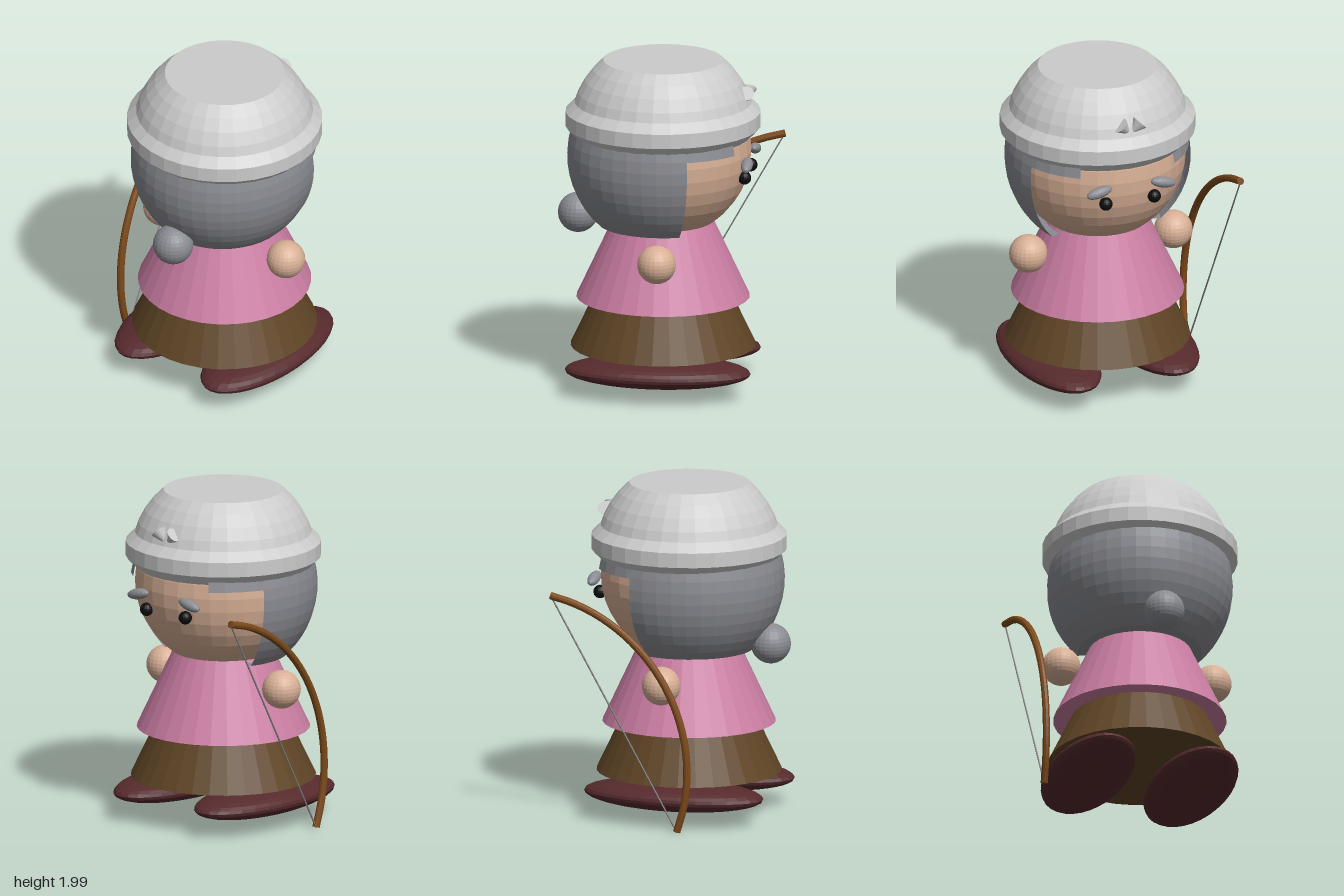
import * as THREE from 'three';

const CX = -0.02, CZ = 0.045; // vertical axis of the figure, which looks toward +x
const rad = THREE.MathUtils.degToRad;

export function createModel() {
  const model = new THREE.Group();
  model.name = 'figureWithBow';

  const mat = (color, side = THREE.FrontSide) =>
    new THREE.MeshStandardMaterial({ color, flatShading: true, side });
  const skin = mat(0xd8b096), pink = mat(0xcb7ea3), brown = mat(0x604526), shoe = mat(0x562a2d);
  const black = mat(0x0c0c0c), wood = mat(0x7d4a1a), stringGrey = mat(0x808080);
  const hatGrey = mat(0xcccccc), hair = mat(0x8b8c92), hairShell = mat(0x8b8c92, THREE.DoubleSide);

  const add = (name, geometry, material, x = CX, y = 0, z = CZ) => {
    const mesh = new THREE.Mesh(geometry, material);
    mesh.name = name;
    mesh.position.set(x, y, z);
    model.add(mesh);
    return mesh;
  };
  const ball = (name, material, r, x, y, z, sx = 1, sy = 1, sz = 1, w = 24, h = 16) => {
    const mesh = add(name, new THREE.SphereGeometry(r, w, h), material, x, y, z);
    mesh.scale.set(sx, sy, sz);
    return mesh;
  };
  // Points on a circle of radius r about height cy, from y0 up to y1
  const zone = (r, cy, y0, y1, n) => {
    const a0 = Math.asin((y0 - cy) / r), a1 = Math.asin((y1 - cy) / r);
    return Array.from({ length: n + 1 }, (_, i) => {
      const a = a0 + ((a1 - a0) * i) / n;
      return new THREE.Vector2(r * Math.cos(a), cy + r * Math.sin(a));
    });
  };

  // Clothes: two stacked cones
  add('skirt', new THREE.CylinderGeometry(0.35, 0.55, 0.42, 32), brown, CX, 0.47);
  add('tunic', new THREE.CylinderGeometry(0.235, 0.515, 0.6, 32), pink, CX, 0.855);

  // Shoes and hands
  ball('leftShoe', shoe, 1, -0.03, 0.168, -0.275, 0.555, 0.09, 0.25, 32);
  ball('rightShoe', shoe, 1, -0.015, 0.168, 0.36, 0.555, 0.09, 0.25, 32);
  ball('leftHand', skin, 0.115, -0.005, 0.858, -0.435);
  ball('rightHand', skin, 0.115, -0.005, 0.858, 0.495);

  // Head and face
  ball('head', skin, 0.525, CX, 1.45, CZ, 1, 1, 1, 32, 20);
  for (const side of [-1, 1]) {
    const label = side < 0 ? 'left' : 'right';
    ball(label + 'Eye', black, 0.04, 0.485, 1.33, CZ + side * 0.155, 1, 1, 1, 16, 12);
    const brow = ball(label + 'Eyebrow', hair, 1, 0.505, 1.42, CZ + side * 0.205, 0.035, 0.033, 0.082, 16, 12);
    brow.rotation.x = side * rad(13);
  }

  // Hair: open-fronted shell, a fringe band under the hat, and a bun
  const profile = [new THREE.Vector2(0.25, 1), ...zone(0.57, 1.42, 1, 1.64, 10)];
  const shell = add('hair', new THREE.LatheGeometry(profile, 24, rad(159), rad(222)), hairShell);
  const fringe = add('hairFringe',
    new THREE.LatheGeometry(zone(0.565, 1.42, 1.5, 1.62, 2), 28, rad(124), rad(292)), hairShell);
  shell.scale.z = fringe.scale.z = 0.965;
  ball('hairBun', hair, 0.12, -0.527, 1.052, 0.055);

  // Hat: flat-topped dome, octagonal rim
  const dome = zone(0.553, 1.576, 1.64, 2, 5);
  add('hatDome', new THREE.LatheGeometry([...dome, new THREE.Vector2(0, 2)], 32), hatGrey);
  const rim = Array.from({ length: 9 }, (_, i) => {
    const a = rad(22.5 + 45 * i);
    return new THREE.Vector2(0.474 + 0.115 * Math.cos(a), 1.645 + 0.115 * Math.sin(a));
  });
  add('hatRim', new THREE.LatheGeometry(rim, 32), hatGrey);

  // Hat ribbon: two cones meeting at their tips
  for (const side of [-1, 1]) {
    const cone = add('hatRibbon', new THREE.ConeGeometry(0.05, 0.09, 16), hatGrey,
      0.48, 1.788, 0.042 + side * 0.032);
    cone.quaternion.setFromUnitVectors(new THREE.Vector3(0, 1, 0),
      new THREE.Vector3(0, -0.72, -side * 0.69).normalize());
  }

  // Bow: a circular arc and its string
  const R = 1.04, from = rad(200.5), to = rad(100.8);
  const points = Array.from({ length: 13 }, (_, i) => {
    const t = i / 12, a = from + (to - from) * t;
    return new THREE.Vector3(0.824 + R * Math.cos(a), 0.377 + R * Math.sin(a), -0.58 - 0.025 * t);
  });
  const arc = new THREE.CatmullRomCurve3(points);
  add('bow', new THREE.TubeGeometry(arc, 32, 0.022, 10), wood, 0, 0, 0);
  for (const t of [0, 1]) {
    const p = arc.getPoint(t);
    const cap = add('bowEnd', new THREE.CircleGeometry(0.022, 10), wood, p.x, p.y, p.z);
    const dir = arc.getTangent(t).multiplyScalar(t ? 1 : -1);
    cap.quaternion.setFromUnitVectors(new THREE.Vector3(0, 0, 1), dir);
  }
  const line = new THREE.LineCurve3(points[0], points[12]);
  add('bowString', new THREE.TubeGeometry(line, 1, 0.005, 6), stringGrey, 0, 0, 0);

  return model;
}
